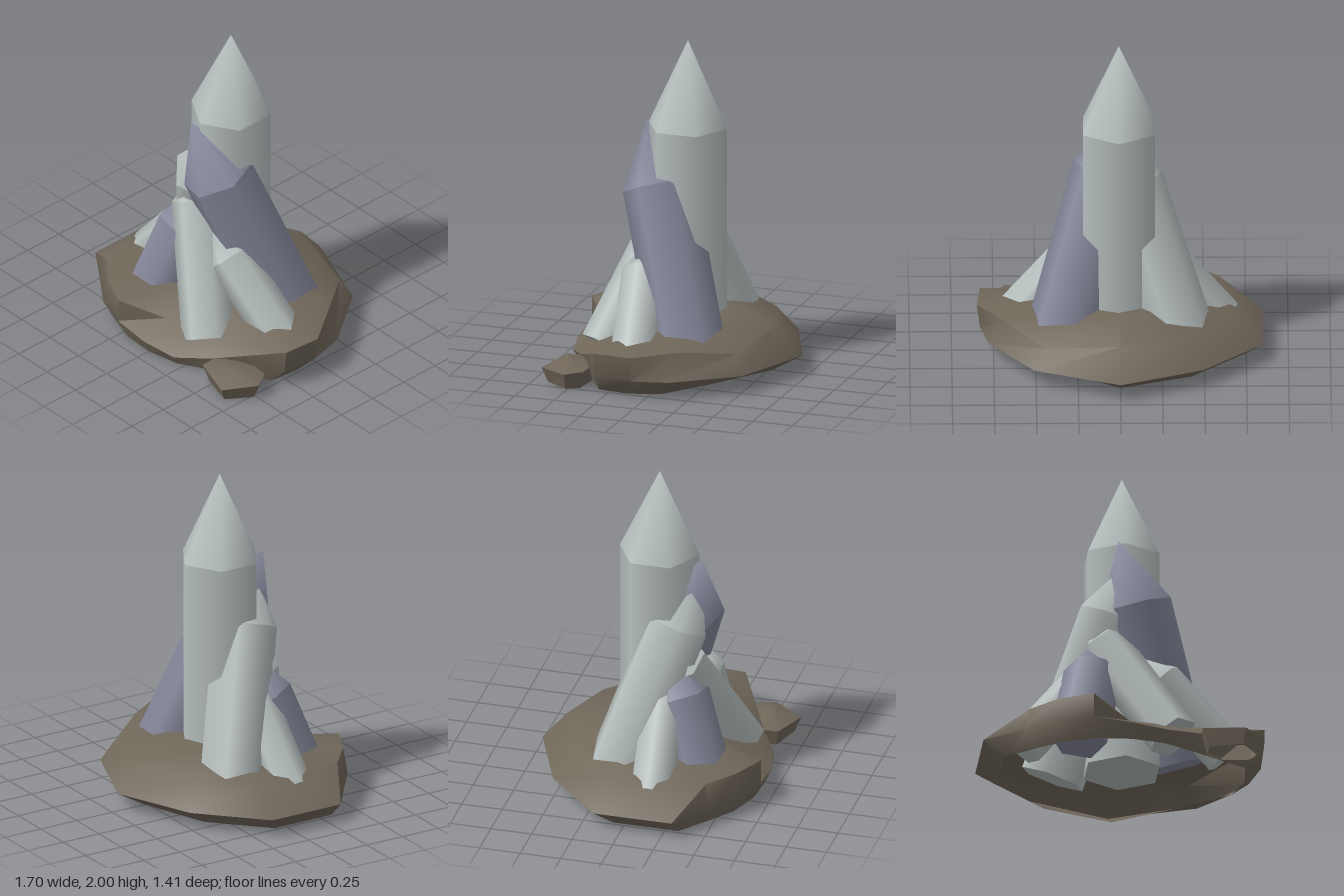
import * as THREE from 'three';
import { toCreasedNormals } from 'three/addons/utils/BufferGeometryUtils.js';

const mat = (name, color, extra = {}) =>
  Object.assign(new THREE.MeshStandardMaterial({ color, ...extra }), { name });

// Six-sided crystal running from a foot point to its tip
function crystal(name, material, foot, tip, radius, tipLength, spin = 0) {
  const a = new THREE.Vector3(...foot), axis = new THREE.Vector3(...tip).sub(a);
  const bodyLength = axis.length() - tipLength;
  const group = new THREE.Group();
  group.name = name;
  const body = new THREE.Mesh(
    new THREE.CylinderGeometry(radius, radius, bodyLength, 6, 1), material);
  body.position.y = bodyLength / 2;
  body.name = name + 'Body';
  const cone = new THREE.ConeGeometry(radius, tipLength, 6, 1, true);
  // One shared upward normal at the apex keeps the point smooth
  for (let i = 0; i < 7; i++) cone.attributes.normal.setXYZ(i, 0, 1, 0);
  const point = new THREE.Mesh(cone, material);
  point.position.y = bodyLength + tipLength / 2;
  point.name = name + 'Point';
  group.add(body, point);
  group.position.copy(a);
  group.quaternion.setFromUnitVectors(new THREE.Vector3(0, 1, 0), axis.normalize());
  group.rotateY(spin);
  return group;
}

// Rock skin from stacked rings of points, closed at the top by a single peak
function rock(name, material, rings, peak, crease) {
  const pos = [], n = rings[0].length;
  const tri = (...pts) => pts.forEach(p => pos.push(...p));
  for (let i = 0; i < n; i++) {
    const j = (i + 1) % n;
    for (let k = 0; k < rings.length - 1; k++) {
      const a = rings[k][i], b = rings[k][j], c = rings[k + 1][j], d = rings[k + 1][i];
      tri(b, a, d);
      tri(b, d, c);
    }
    const last = rings[rings.length - 1];
    tri(last[j], last[i], peak);
  }
  const g = new THREE.BufferGeometry();
  g.setAttribute('position', new THREE.Float32BufferAttribute(pos, 3));
  const mesh = new THREE.Mesh(toCreasedNormals(g, crease), material);
  mesh.name = name;
  return mesh;
}

export function createModel() {
  const pale = mat('pale crystal', 0xb6bfbe);
  const violet = mat('violet crystal', 0x86899c);
  const stone = mat('brown stone', 0x70675a, { side: THREE.DoubleSide });
  const model = new THREE.Group();
  model.name = 'crystalCluster';

  // Base rock, hollow underneath: foot, widest ring and upper rim, from the back round by +x
  const foot = [
    [0, 0, -0.52], [0.36, 0, -0.29], [0.67, 0, -0.06], [0.73, 0, 0.13],
    [0.71, 0, 0.32], [0.38, 0, 0.52], [0.20, 0, 0.62], [0, 0, 0.66],
    [-0.20, 0, 0.65], [-0.40, 0, 0.58], [-0.55, 0, 0.47], [-0.73, 0, 0.33],
    [-0.73, 0, -0.07], [-0.42, 0, -0.37]];
  const waist = [
    [0, 0.11, -0.71], [0.51, 0.11, -0.51], [0.78, 0.11, -0.14], [0.83, 0.11, 0.08],
    [0.81, 0.11, 0.31], [0.42, 0.11, 0.54], [0.22, 0.07, 0.66], [0, 0.09, 0.70],
    [-0.23, 0.12, 0.70], [-0.45, 0.11, 0.62], [-0.62, 0.11, 0.49], [-0.85, 0.11, 0.32],
    [-0.85, 0.11, -0.16], [-0.49, 0.11, -0.51]];
  const rim = [
    [0, 0.29, -0.56], [0.45, 0.23, -0.46], [0.69, 0.27, -0.15], [0.85, 0.26, 0.08],
    [0.83, 0.26, 0.31], [0.35, 0.19, 0.45], [0.18, 0.17, 0.52], [0, 0.18, 0.53],
    [-0.23, 0.27, 0.70], [-0.43, 0.27, 0.60], [-0.59, 0.26, 0.46], [-0.65, 0.26, 0.27],
    [-0.65, 0.26, -0.13], [-0.40, 0.27, -0.40]];
  const crown = rim.map(([x, y, z]) => [x * 0.5, 0.33 + (y - 0.27) * 0.3 - z * 0.04, z * 0.5]);
  model.add(rock('baseRock', stone, [foot, waist, rim, crown], [0, 0.35, 0], 0.8));

  // Small loose stone beside the base
  const pebble = [
    [0.55, 0.11, 0.39], [0.75, 0.11, 0.41], [0.805, 0.10, 0.51],
    [0.68, 0.09, 0.695], [0.43, 0.11, 0.62], [0.43, 0.11, 0.46]];
  const pebbleFoot = pebble.map(([x, , z]) =>
    [0.61 + (x - 0.61) * 0.78, 0, 0.53 + (z - 0.53) * 0.78]);
  model.add(rock('looseStone', stone, [pebbleFoot, pebble], [0.61, 0.155, 0.55], 0.6));

  // Central column and the leaning crystals around it
  model.add(
    crystal('mainCrystal', pale, [0.007, 0.08, 0.01], [0.007, 2, 0.01], 0.246, 0.53),
    crystal('largeVioletCrystal', violet, [0.34, 0.19, -0.115], [-0.04, 1.465, 0.285], 0.22, 0.4, 0.25),
    crystal('backPaleCrystal', pale, [-0.39, 0.1, -0.165], [0.05, 1.375, 0.255], 0.2, 0.38, -0.25),
    crystal('frontPaleCrystal', pale, [0.27, 0.13, 0.435], [-0.19, 0.95, 0.12], 0.155, 0.17, 0.2),
    crystal('frontVioletCrystal', violet, [-0.29, 0.13, 0.36], [-0.12, 0.92, 0.09], 0.175, 0.32, 0.45),
    crystal('sidePaleCrystalRight', pale, [-0.60, 0.16, 0.13], [-0.11, 0.76, 0.10], 0.13, 0.2, 0.5),
    crystal('sidePaleCrystalLeft', pale, [0.62, 0.16, 0.14], [0.08, 0.74, 0.23], 0.14, 0.2, 0.5));
  return model;
}
